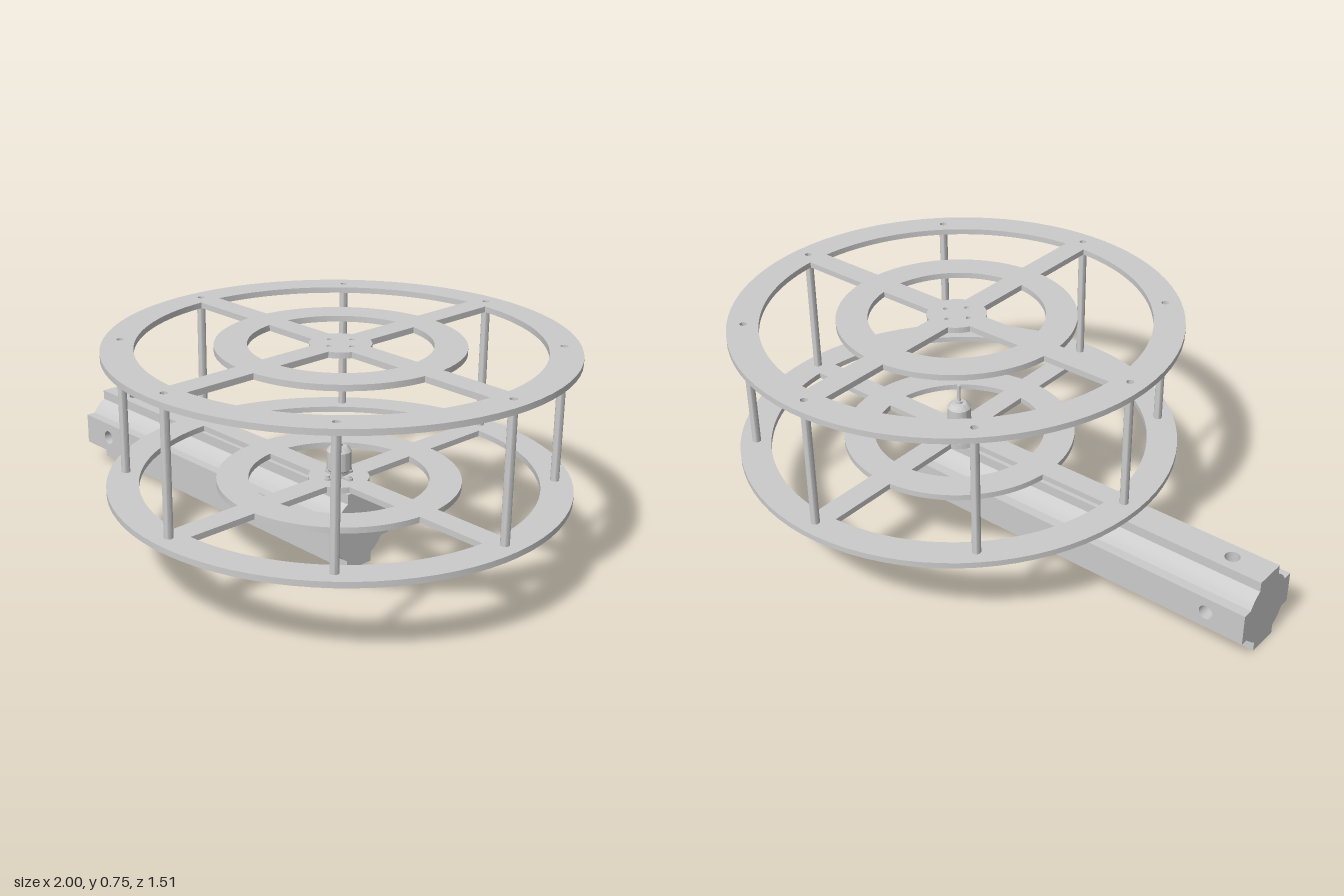
import * as THREE from 'three';
import { toCreasedNormals, mergeGeometries } from 'three/addons/utils/BufferGeometryUtils.js';

const CX = 0.245;                       // wheel axis
const LOWER_Y = 0.27, UPPER_Y = 0.725, PLATE_T = 0.02;
const POST_R = 0.7, HOLE_R = 0.012;

const grey = new THREE.MeshStandardMaterial({ color: 0xcccccc });
const greyDouble = new THREE.MeshStandardMaterial({ color: 0xcccccc, side: THREE.DoubleSide });

function add(parent, name, geometry, x = 0, y = 0, z = 0, material = grey) {
  const mesh = new THREE.Mesh(geometry, material);
  mesh.name = name;
  mesh.position.set(x, y, z);
  parent.add(mesh);
  return mesh;
}

const circle = (x, y, r) => new THREE.Path().absarc(x, y, r, 0, Math.PI * 2, false);

// Opening between two radii and two neighbouring spokes
function spokeWindow(rIn, rOut, quarter, halfSpoke = 0.04) {
  const start = quarter * Math.PI / 2, end = start + Math.PI / 2;
  const a = Math.asin(halfSpoke / rOut), b = Math.asin(halfSpoke / rIn);
  const path = new THREE.Path();
  path.absarc(0, 0, rOut, start + a, end - a, false);
  path.absarc(0, 0, rIn, end - b, start + b, true);
  path.closePath();
  return path;
}

function plateGeometry() {
  const shape = new THREE.Shape().absarc(0, 0, 0.755, 0, Math.PI * 2, false);
  for (let q = 0; q < 4; q++) {
    const a = q * Math.PI / 2;
    shape.holes.push(spokeWindow(0.4, 0.65, q), spokeWindow(0.1, 0.295, q));
    shape.holes.push(circle(0.05 * Math.cos(a), 0.05 * Math.sin(a), 0.008));
  }
  for (let i = 0; i < 8; i++) {
    const a = i * Math.PI / 4;
    shape.holes.push(circle(POST_R * Math.cos(a), POST_R * Math.sin(a), HOLE_R));
  }
  const geo = new THREE.ExtrudeGeometry(shape, { depth: PLATE_T, bevelEnabled: false, curveSegments: 40 });
  geo.rotateX(-Math.PI / 2);
  return toCreasedNormals(geo, 0.5);
}

// Hollow spacer post, open through the plate holes
function postGeometry() {
  const shape = new THREE.Shape().absarc(0, 0, 0.0145, 0, Math.PI * 2, false);
  shape.holes.push(circle(0, 0, HOLE_R));
  const geo = new THREE.ExtrudeGeometry(shape, {
    depth: UPPER_Y - LOWER_Y - PLATE_T, bevelEnabled: false, curveSegments: 10 });
  geo.rotateX(-Math.PI / 2);
  return toCreasedNormals(geo, 0.7);
}

// Cross-section beam with a round core and crossing bolt holes
function buildBeam() {
  const beam = new THREE.Group();
  beam.name = 'beam';
  const x0 = -1, x1 = 0.345, len = x1 - x0, half = 0.135, arm = 0.055, core = 0.115;
  const holeX = -0.865, holeR = 0.025;

  // Corner outline between two arms as [z, y]
  const corner = [[arm, half]];
  const a0 = Math.acos(arm / core), a1 = Math.asin(arm / core);
  for (let i = 0; i <= 8; i++) {
    const a = a0 + (a1 - a0) * i / 8;
    corner.push([core * Math.cos(a), core * Math.sin(a)]);
  }
  corner.push([half, arm]);

  // Corner walls
  let wall = new THREE.PlaneGeometry(len, 1, 1, corner.length - 1);
  const wp = wall.attributes.position;
  for (let i = 0; i < wp.count; i++) {
    const [z, y] = corner[Math.floor(i / 2)];
    wp.setXYZ(i, wp.getX(i) + (x0 + x1) / 2, y, z);
  }
  wall = toCreasedNormals(wall, 0.5);

  // Arm face with bolt hole
  const faceShape = new THREE.Shape();
  faceShape.moveTo(x0, -arm).lineTo(x1, -arm).lineTo(x1, arm).lineTo(x0, arm).closePath();
  faceShape.holes.push(circle(holeX, 0, holeR));
  const face = new THREE.ShapeGeometry(faceShape, 16);
  face.rotateX(-Math.PI / 2).translate(0, half, 0);

  // Bolt hole lining, mitred where the two bores meet
  const lining = new THREE.CylinderGeometry(holeR, holeR, 1, 32, 1, true);
  const lp = lining.attributes.position;
  for (let i = 0; i < lp.count; i++) {
    lp.setY(i, lp.getY(i) > 0 ? half : Math.abs(lp.getZ(i)));
  }
  lining.translate(holeX, 0, 0);

  for (let q = 0; q < 4; q++) {
    const side = new THREE.Group();
    side.name = 'beamSide';
    side.rotation.x = q * Math.PI / 2;
    add(side, 'beamCorner', wall);
    add(side, 'beamFace', face);
    add(side, 'boltHole', lining, 0, 0, 0, greyDouble);
    beam.add(side);
  }

  // End caps from the four corners
  const outline = [];
  for (let q = 0; q < 4; q++) {
    const c = Math.cos(-q * Math.PI / 2), s = Math.sin(-q * Math.PI / 2);
    for (const [z, y] of corner) outline.push(new THREE.Vector2(z * c - y * s, z * s + y * c));
  }
  const cap = new THREE.ShapeGeometry(new THREE.Shape(outline));
  add(beam, 'beamEnd', cap, x1).rotation.y = Math.PI / 2;
  add(beam, 'beamEnd', cap, x0).rotation.y = -Math.PI / 2;

  beam.position.y = half;
  return beam;
}

// Motor standing on a four-armed mount
function buildMotor() {
  const motor = new THREE.Group();
  motor.name = 'motor';
  for (let i = 0; i < 4; i++) {
    const a = i * Math.PI / 2, x = 0.05 * Math.cos(a), z = 0.05 * Math.sin(a);
    const bar = new THREE.BoxGeometry(0.05, 0.008, 0.022).translate(0.025, 0.004, 0);
    const tip = new THREE.CylinderGeometry(0.011, 0.011, 0.008, 20).translate(0.05, 0.004, 0);
    add(motor, 'mountArm', mergeGeometries([bar, tip])).rotation.y = a;
    add(motor, 'mountScrew', new THREE.CylinderGeometry(0.007, 0.007, 0.008, 16), x, 0.011, z);
  }
  const profile = [[0, 0], [0.028, 0], [0.028, 0.022], [0.036, 0.022], [0.041, 0.028], [0.041, 0.09],
    [0.036, 0.098], [0.026, 0.106], [0.012, 0.108], [0.012, 0.114], [0, 0.114]];
  const body = new THREE.LatheGeometry(profile.map(p => new THREE.Vector2(...p)), 40);
  add(motor, 'motorBody', toCreasedNormals(body, 0.5));
  add(motor, 'motorShaft', new THREE.CylinderGeometry(0.006, 0.006, 0.07, 16), 0, 0.14, 0);
  motor.position.set(CX, LOWER_Y + PLATE_T, 0);
  return motor;
}

export function createModel() {
  const model = new THREE.Group();
  model.name = 'propellerGuardArm';
  model.add(buildBeam(), buildMotor());

  const plate = plateGeometry();
  add(model, 'lowerPlate', plate, CX, LOWER_Y, 0);
  add(model, 'upperPlate', plate, CX, UPPER_Y, 0);

  const post = postGeometry();
  for (let i = 0; i < 8; i++) {
    const a = i * Math.PI / 4;
    add(model, 'post', post, CX + POST_R * Math.cos(a), LOWER_Y + PLATE_T, POST_R * Math.sin(a));
  }
  return model;
}
